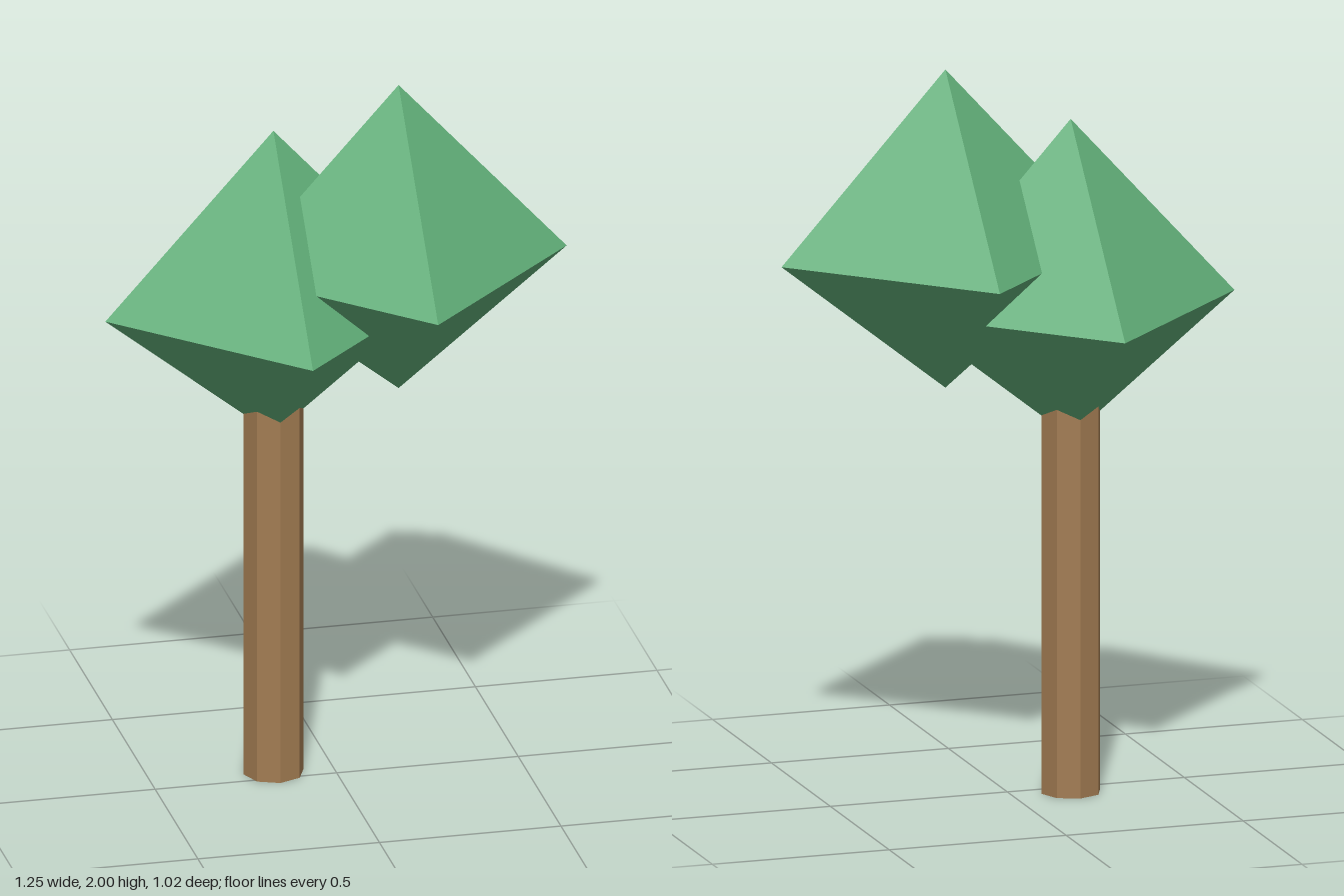
import * as THREE from 'three';

const leafMaterial = new THREE.MeshStandardMaterial({ color: 0x62b07a, flatShading: true });
const barkMaterial = new THREE.MeshStandardMaterial({ color: 0xa27c52, flatShading: true, side: THREE.DoubleSide });

const CROWN_RADIUS = 0.463, CROWN_RISE = 0.51, CROWN_DROP = 0.37;

// Four-sided crown: an octahedron with a tall top and a shallower underside
function makeCrown(name, x, y, z) {
  const geometry = new THREE.OctahedronGeometry(1);
  const position = geometry.attributes.position;
  for (let i = 0; i < position.count; i++) {
    const h = position.getY(i);
    position.setXYZ(
      i,
      position.getX(i) * CROWN_RADIUS,
      h * (h > 0 ? CROWN_RISE : CROWN_DROP),
      position.getZ(i) * CROWN_RADIUS
    );
  }
  geometry.computeVertexNormals();
  const crown = new THREE.Mesh(geometry, leafMaterial);
  crown.name = name;
  crown.position.set(x, y, z);
  return crown;
}

export function createModel() {
  const tree = new THREE.Group();
  tree.name = 'tree';

  // Eight-sided trunk, open at the ends
  const height = 1.1;
  const trunk = new THREE.Mesh(new THREE.CylinderGeometry(0.083, 0.083, height, 8, 1, true), barkMaterial);
  trunk.name = 'trunk';
  trunk.position.set(-0.163, height / 2, -0.048);
  tree.add(trunk);

  // Lower crown sits on the trunk, upper crown overlaps it to the left
  tree.add(makeCrown('lowerCrown', -0.163, 1.35, -0.048));
  tree.add(makeCrown('upperCrown', 0.16, 1.49, 0.045));

  return tree;
}
